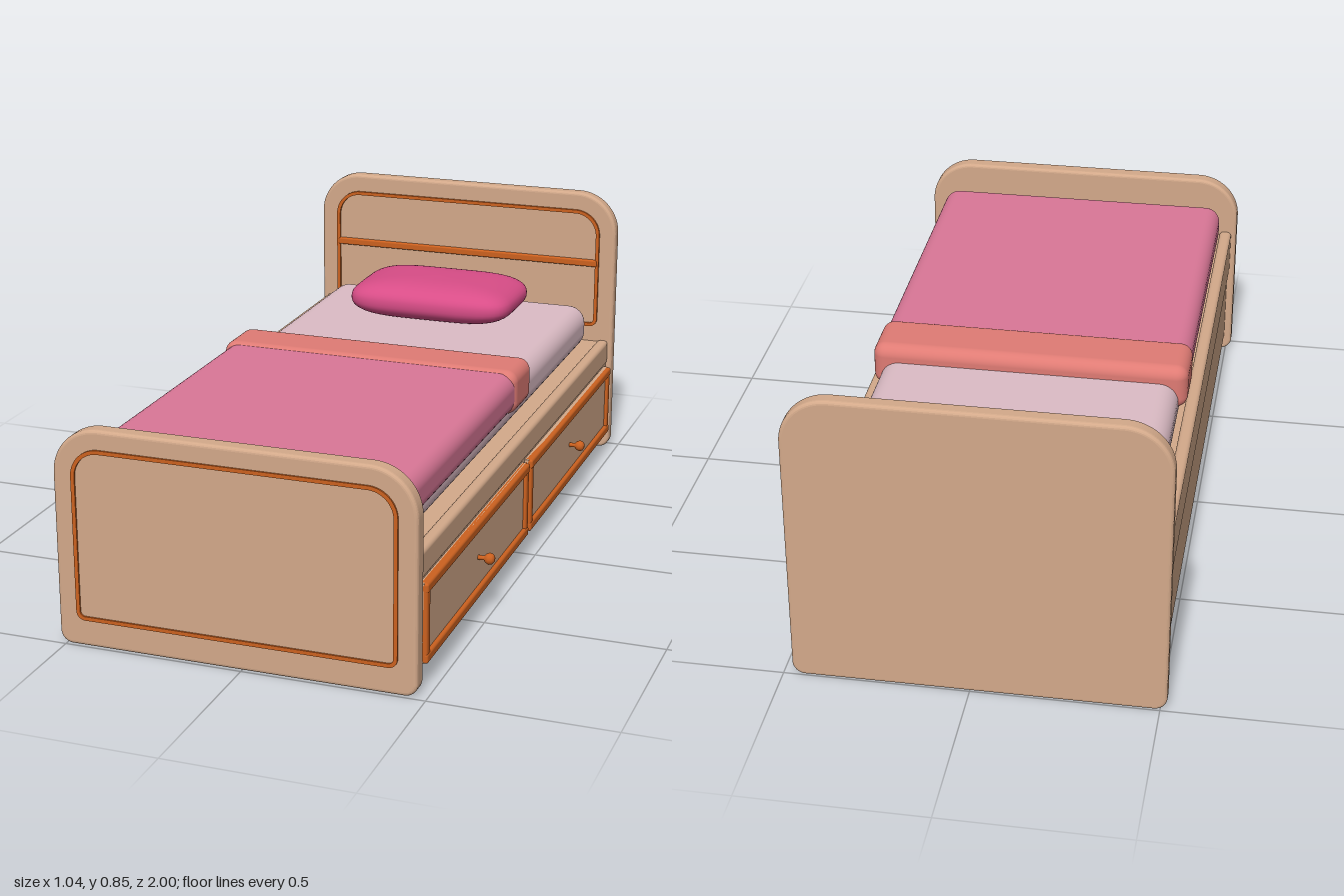
import * as THREE from 'three';
import { RoundedBoxGeometry } from 'three/addons/geometries/RoundedBoxGeometry.js';

const mat = (name, color) => {
  const m = new THREE.MeshStandardMaterial({ color });
  m.name = name;
  return m;
};

// rounded rectangle with separate top and bottom radii
function roundedRect(Path, x0, x1, y0, y1, rTop, rBottom) {
  const p = new Path();
  p.moveTo(x0 + rBottom, y0);
  p.lineTo(x1 - rBottom, y0);
  p.absarc(x1 - rBottom, y0 + rBottom, rBottom, -Math.PI / 2, 0);
  p.lineTo(x1, y1 - rTop);
  p.absarc(x1 - rTop, y1 - rTop, rTop, 0, Math.PI / 2);
  p.lineTo(x0 + rTop, y1);
  p.absarc(x0 + rTop, y1 - rTop, rTop, Math.PI / 2, Math.PI);
  p.lineTo(x0, y0 + rBottom);
  p.absarc(x0 + rBottom, y0 + rBottom, rBottom, Math.PI, Math.PI * 1.5);
  return p;
}

export function createModel() {
  const wood = mat('lightWood', 0xd3a98a);
  const trim = mat('orangeTrim', 0xcc611f);
  const sheet = mat('paleSheet', 0xdcbcc5);
  const cover = mat('pinkCover', 0xda7797);
  const fold = mat('coralFold', 0xdf7b74);
  const cushion = mat('deepPink', 0xd84d87);

  const bed = new THREE.Group();
  bed.name = 'bed';
  const add = (name, geo, material, parent = bed) => {
    const mesh = new THREE.Mesh(geo, material);
    mesh.name = name;
    parent.add(mesh);
    return mesh;
  };
  // rounded box given by its bounds
  const block = (name, x0, x1, y0, y1, z0, z1, r, material, parent) => {
    const geo = new RoundedBoxGeometry(x1 - x0, y1 - y0, z1 - z0, 5, r);
    geo.translate((x0 + x1) / 2, (y0 + y1) / 2, (z0 + z1) / 2);
    return add(name, geo, material, parent);
  };

  // end boards with softened edges
  const board = (name, height, z0, z1) => {
    const b = 0.01;
    const shape = roundedRect(THREE.Shape, -0.518 + b, 0.476 - b, b, height - b, 0.12, 0.025);
    const geo = new THREE.ExtrudeGeometry(shape, {
      depth: z1 - z0 - 2 * b, bevelSize: b, bevelThickness: b, bevelSegments: 4, curveSegments: 14,
    });
    geo.translate(0, 0, z0 + b);
    add(name, geo, wood);
  };
  board('headboard', 0.845, -1, -0.955);
  board('footboard', 0.607, 0.945, 0.995);

  // thin raised outline on each end board
  const outline = (name, y0, y1, z0, depth) => {
    const w = 0.011;
    const shape = roundedRect(THREE.Shape, -0.465, 0.425, y0, y1, 0.08, 0.025);
    shape.holes.push(roundedRect(THREE.Path, -0.465 + w, 0.425 - w, y0 + w, y1 - w, 0.08 - w, 0.025 - w));
    const geo = new THREE.ExtrudeGeometry(shape, { depth, bevelEnabled: false, curveSegments: 14 });
    geo.translate(0, 0, z0);
    add(name, geo, trim);
  };
  outline('headboardTrim', 0.41, 0.79, -0.957, 0.01);
  outline('footboardTrim', 0.075, 0.555, 0.993, 0.007);
  block('headboardBar', -0.46, 0.42, 0.608, 0.63, -0.96, -0.945, 0.005, trim);

  // frame: drawer case, platform and side rails (the left one is taller)
  block('drawerCase', -0.495, 0.458, 0.05, 0.295, -0.96, 0.95, 0.004, wood);
  block('platform', -0.48, 0.44, 0.28, 0.36, -0.96, 0.95, 0.004, wood);
  block('rightRail', 0.428, 0.463, 0.288, 0.366, -0.96, 0.95, 0.012, wood);
  block('leftRail', -0.502, -0.465, 0.288, 0.432, -0.96, 0.95, 0.012, wood);

  // two framed drawers with round knobs
  for (const [i, z0] of [0.01, -0.932].entries()) {
    const z1 = z0 + 0.92, y0 = 0.065, y1 = 0.285, w = 0.028;
    const drawer = new THREE.Group();
    drawer.name = i ? 'backDrawer' : 'frontDrawer';
    bed.add(drawer);
    block('drawerPanel', 0.45, 0.471, y0, y1, z0, z1, 0.002, wood, drawer);
    for (const y of [y0, y1 - w]) block('drawerEdge', 0.455, 0.482, y, y + w, z0, z1, 0.007, trim, drawer);
    for (const z of [z0, z1 - w]) block('drawerEnd', 0.455, 0.48, y0 + 0.005, y1 - 0.005, z, z + w, 0.007, trim, drawer);
    const profile = [[0, 0], [0.007, 0], [0.006, 0.02], [0.012, 0.024], [0.0165, 0.034], [0.014, 0.043], [0.008, 0.048], [0, 0.049]];
    const knob = add('drawerKnob', new THREE.LatheGeometry(profile.map(([x, y]) => new THREE.Vector2(x, y)), 20), trim, drawer);
    knob.rotation.z = -Math.PI / 2;
    knob.position.set(0.468, 0.175, (z0 + z1) / 2);
  }

  // bedding
  block('mattress', -0.447, 0.405, 0.358, 0.495, -0.918, 0.922, 0.055, sheet);
  block('blanket', -0.466, 0.424, 0.413, 0.536, -0.12, 0.928, 0.045, cover);
  block('blanketFold', -0.471, 0.429, 0.412, 0.543, -0.178, 0.004, 0.035, fold);

  // pillow: a sphere squared off in plan and swollen at the rim
  const geo = new THREE.SphereGeometry(1, 48, 28);
  const p = geo.attributes.position;
  const pow = (v, e) => Math.sign(v) * Math.abs(v) ** e;
  for (let i = 0; i < p.count; i++) {
    const x = p.getX(i), y = p.getY(i), z = p.getZ(i);
    const r = Math.hypot(x, z), a = Math.atan2(z, x);
    const rim = r ** 0.65;
    p.setXYZ(i, pow(Math.cos(a), 0.42) * rim * 0.262, pow(y, 0.85) * 0.062, pow(Math.sin(a), 0.42) * rim * 0.174);
  }
  geo.computeVertexNormals();
  add('pillow', geo, cushion).position.set(-0.022, 0.548, -0.687);

  return bed;
}
